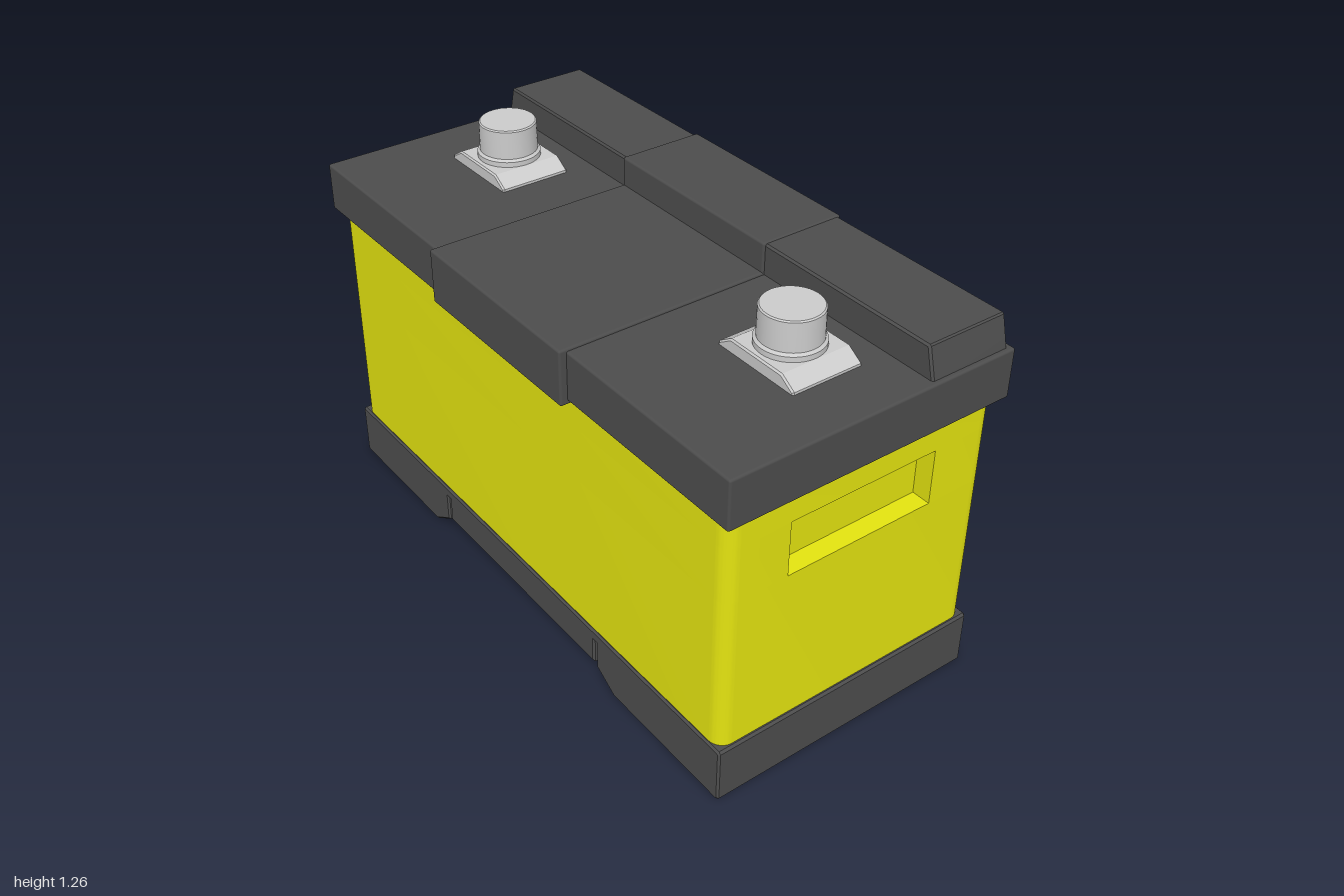
import * as THREE from 'three';
import { toCreasedNormals } from 'three/addons/utils/BufferGeometryUtils.js';
import { RoundedBoxGeometry } from 'three/addons/geometries/RoundedBoxGeometry.js';

const dark = new THREE.MeshStandardMaterial({ color: 0x4d4d4d });
const yellow = new THREE.MeshStandardMaterial({ color: 0xe4e410 });
const grey = new THREE.MeshStandardMaterial({ color: 0xcccccc });

function add(parent, name, geometry, material) {
  const mesh = new THREE.Mesh(geometry, material);
  mesh.name = name;
  parent.add(mesh);
  return mesh;
}

// Box given by its limits, with slightly softened edges
function softBox(parent, name, [x0, x1], [y0, y1], [z0, z1], material, r = 0.007) {
  const g = new RoundedBoxGeometry(x1 - x0, y1 - y0, z1 - z0, 2, r);
  g.translate((x0 + x1) / 2, (y0 + y1) / 2, (z0 + z1) / 2);
  return add(parent, name, g, material);
}

// Front outline (x, y) extruded from z0 to z1 with a small bevel
function frontExtrude(points, z0, z1, bevel) {
  const shape = new THREE.Shape(points.map(([x, y]) => new THREE.Vector2(x, y)));
  const g = new THREE.ExtrudeGeometry(shape, {
    depth: z1 - z0 - 2 * bevel, bevelEnabled: bevel > 0,
    bevelThickness: bevel, bevelSize: bevel, bevelOffset: -bevel, bevelSegments: 1,
  });
  g.translate(0, 0, z0 + bevel);
  return toCreasedNormals(g, 0.5);
}

// Rounded plan of the case, optionally notched at both ends for the grips
function casePlan(notched) {
  const w = 0.973, d = 0.452, r = 0.045, grip = 0.247, inner = w - 0.06;
  const s = new THREE.Shape();
  for (const k of [1, -1]) {
    if (k === 1) s.moveTo(w, -d + r);
    else s.lineTo(-w, d - r);
    if (notched) {
      s.lineTo(k * w, -k * grip);
      s.lineTo(k * inner, -k * grip);
      s.lineTo(k * inner, k * grip);
      s.lineTo(k * w, k * grip);
    }
    s.lineTo(k * w, k * (d - r));
    const a = k === 1 ? 0 : Math.PI;
    s.absarc(k * (w - r), k * (d - r), r, a, a + Math.PI / 2, false);
    s.lineTo(-k * (w - r), k * d);
    s.absarc(-k * (w - r), k * (d - r), r, a + Math.PI / 2, a + Math.PI, false);
  }
  return s;
}

function createTerminal(x) {
  const g = new THREE.Group();
  g.name = 'terminal';
  // Plate with sloping ends
  add(g, 'terminalPlate', frontExtrude([
    [-0.148, -0.01], [0.148, -0.01], [0.148, 0.006], [0.1, 0.037], [-0.1, 0.037], [-0.148, 0.006],
  ], -0.116, 0.116, 0.005), grey);
  // Collar and post with a softened rim
  const profile = [[0, 0.03], [0.098, 0.03], [0.098, 0.053], [0.09, 0.06],
    [0.089, 0.148], [0.085, 0.152], [0, 0.152]].map(([r, y]) => new THREE.Vector2(r, y));
  add(g, 'terminalPost', toCreasedNormals(new THREE.LatheGeometry(profile, 40), 0.5), grey);
  g.position.set(x, 1.11, 0.018);
  return g;
}

export function createModel() {
  const model = new THREE.Group();
  model.name = 'battery';

  // Base with two feet, separated from the raised middle by narrow slots
  const half = [[0.405, 0.06], [0.405, 0.145], [0.418, 0.145], [0.418, 0.052],
    [0.495, 0.005], [0.503, 0], [0.977, 0], [0.984, 0.007], [0.984, 0.175], [0.977, 0.182]];
  const mirrored = half.map(([x, y]) => [-x, y]).reverse();
  add(model, 'base', frontExtrude([...half, ...mirrored], -0.46, 0.46, 0.006), dark);

  // Case in three layers, the middle one holding the grip recesses
  const body = new THREE.Group();
  body.name = 'case';
  model.add(body);
  [[0.15, 0.685, false], [0.685, 0.86, true], [0.86, 0.97, false]].forEach(([y0, y1, notched]) => {
    const g = new THREE.ExtrudeGeometry(casePlan(notched),
      { depth: y1 - y0, bevelEnabled: false, curveSegments: 8 });
    g.rotateX(-Math.PI / 2).translate(0, y0, 0);
    add(body, notched ? 'gripLayer' : 'caseLayer', toCreasedNormals(g, 0.6), yellow);
  });

  // Lid with a wider centre band
  softBox(model, 'lid', [-1, 1], [0.953, 1.108], [-0.474, 0.474], dark);
  softBox(model, 'lidBand', [-0.33, 0.33], [0.942, 1.116], [-0.497, 0.497], dark);

  // Raised ridge along the back, with sloping ends and its own band
  add(model, 'ridge', frontExtrude([
    [-0.99, 1.09], [0.99, 1.09], [0.984, 1.115], [0.962, 1.2], [0.957, 1.204],
    [-0.957, 1.204], [-0.962, 1.2], [-0.984, 1.115],
  ], -0.458, -0.188, 0.006), dark);
  softBox(model, 'ridgeBand', [-0.33, 0.33], [1.09, 1.208], [-0.464, -0.181], dark);

  model.add(createTerminal(-0.66), createTerminal(0.677));
  return model;
}
